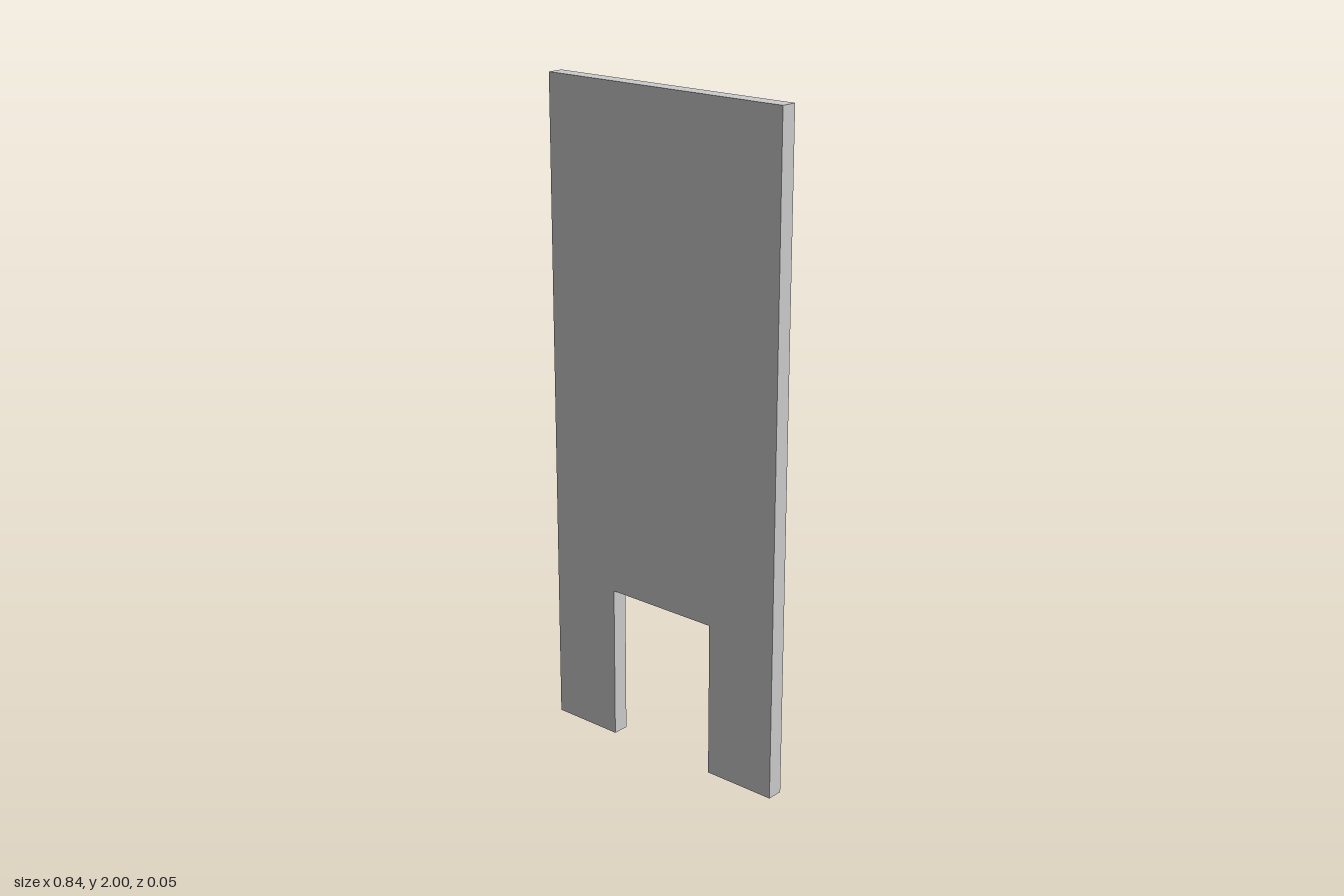
import * as THREE from 'three';

const HALF_WIDTH = 0.419;
const HEIGHT = 2;
const THICKNESS = 0.05;
const NOTCH_HALF_WIDTH = 0.187;
const NOTCH_HEIGHT = 0.475;

export function createModel() {
  const group = new THREE.Group();
  group.name = 'notchedPanel';

  // Upright panel outline with a rectangular notch between two feet
  const outline = new THREE.Shape([
    [-HALF_WIDTH, 0],
    [-NOTCH_HALF_WIDTH, 0],
    [-NOTCH_HALF_WIDTH, NOTCH_HEIGHT],
    [NOTCH_HALF_WIDTH, NOTCH_HEIGHT],
    [NOTCH_HALF_WIDTH, 0],
    [HALF_WIDTH, 0],
    [HALF_WIDTH, HEIGHT],
    [-HALF_WIDTH, HEIGHT],
  ].map(([x, y]) => new THREE.Vector2(x, y)));

  const geometry = new THREE.ExtrudeGeometry(outline, { depth: THICKNESS, bevelEnabled: false });
  geometry.translate(0, 0, -THICKNESS / 2);

  const panel = new THREE.Mesh(geometry, new THREE.MeshStandardMaterial({ color: 0xcccccc }));
  panel.name = 'panel';
  group.add(panel);

  return group;
}
